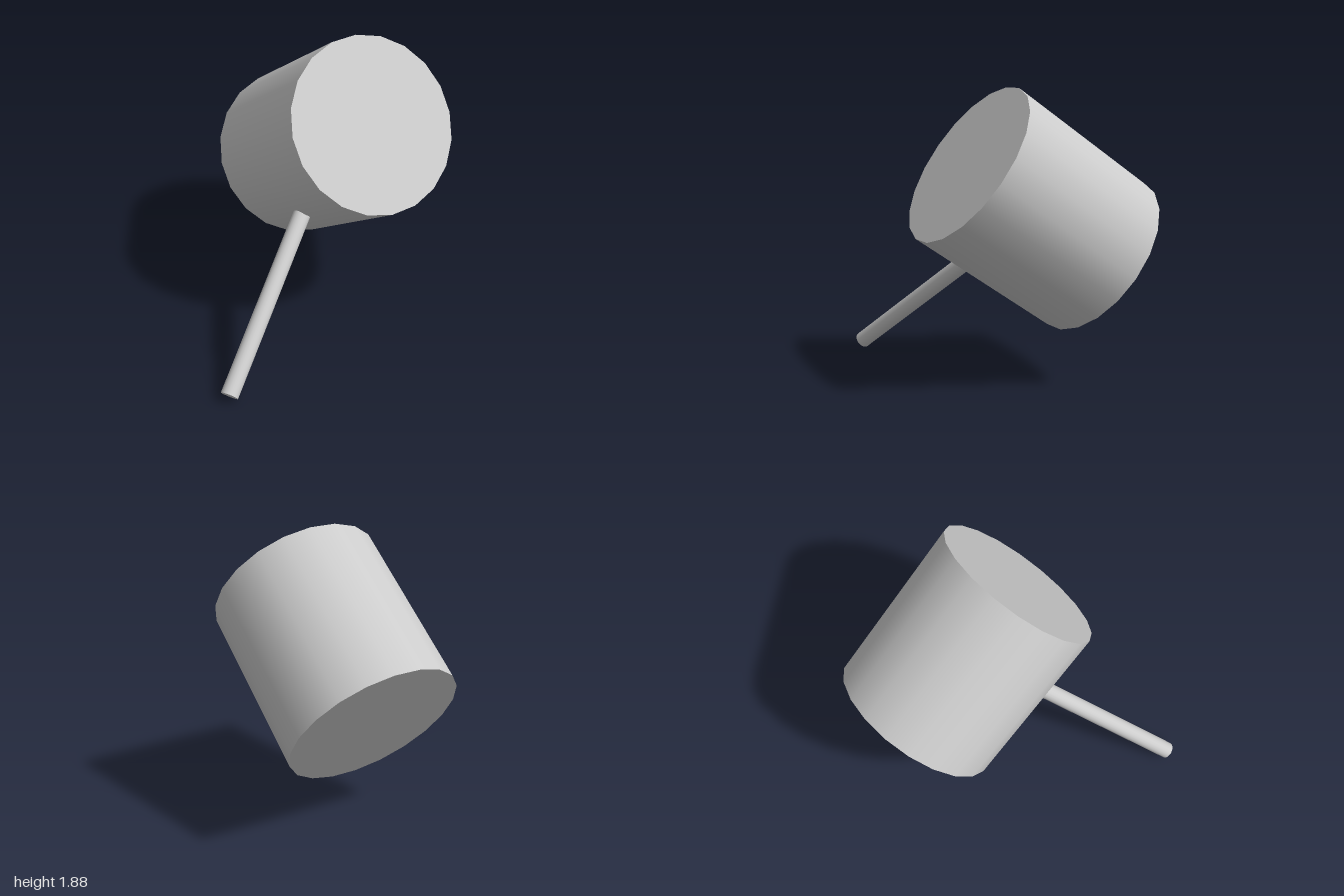
import * as THREE from 'three';

const material = new THREE.MeshStandardMaterial({ color: 0xcccccc });

function addPart(group, name, geometry) {
  const mesh = new THREE.Mesh(geometry, material);
  mesh.name = name;
  group.add(mesh);
}

export function createModel() {
  const model = new THREE.Group();
  model.name = 'mallet';

  const headRadius = 0.56, headLength = 1.12;
  const handleRadius = 0.056, handleReach = 1.776, overlap = 0.1;

  // Local frame: origin at the head's centre, handle along -y, head along z
  const mallet = new THREE.Group();
  mallet.name = 'tiltedMallet';

  // Head: a stout drum lying on its side
  const head = new THREE.CylinderGeometry(headRadius, headRadius, headLength, 20);
  head.rotateX(Math.PI / 2);
  addPart(mallet, 'head', head);

  // Handle: a thin rod running just into the underside of the head
  const top = -headRadius + overlap;
  const handle = new THREE.CylinderGeometry(handleRadius, handleRadius, handleReach + top, 20);
  handle.translate(0, (top - handleReach) / 2, 0);
  addPart(mallet, 'handle', handle);

  // Tilt the mallet so that it rests on the end of its handle
  const centre = new THREE.Vector3(0.077, 1.102, -0.208);
  const up = new THREE.Vector3(-0.747, 0.046, 0.957).sub(centre).negate().normalize();
  const right = new THREE.Vector3().crossVectors(up, new THREE.Vector3(0.33, 0.567, 0.754)).normalize();
  const along = new THREE.Vector3().crossVectors(right, up);
  mallet.quaternion.setFromRotationMatrix(new THREE.Matrix4().makeBasis(right, up, along));
  mallet.position.copy(centre);

  model.add(mallet);
  return model;
}
